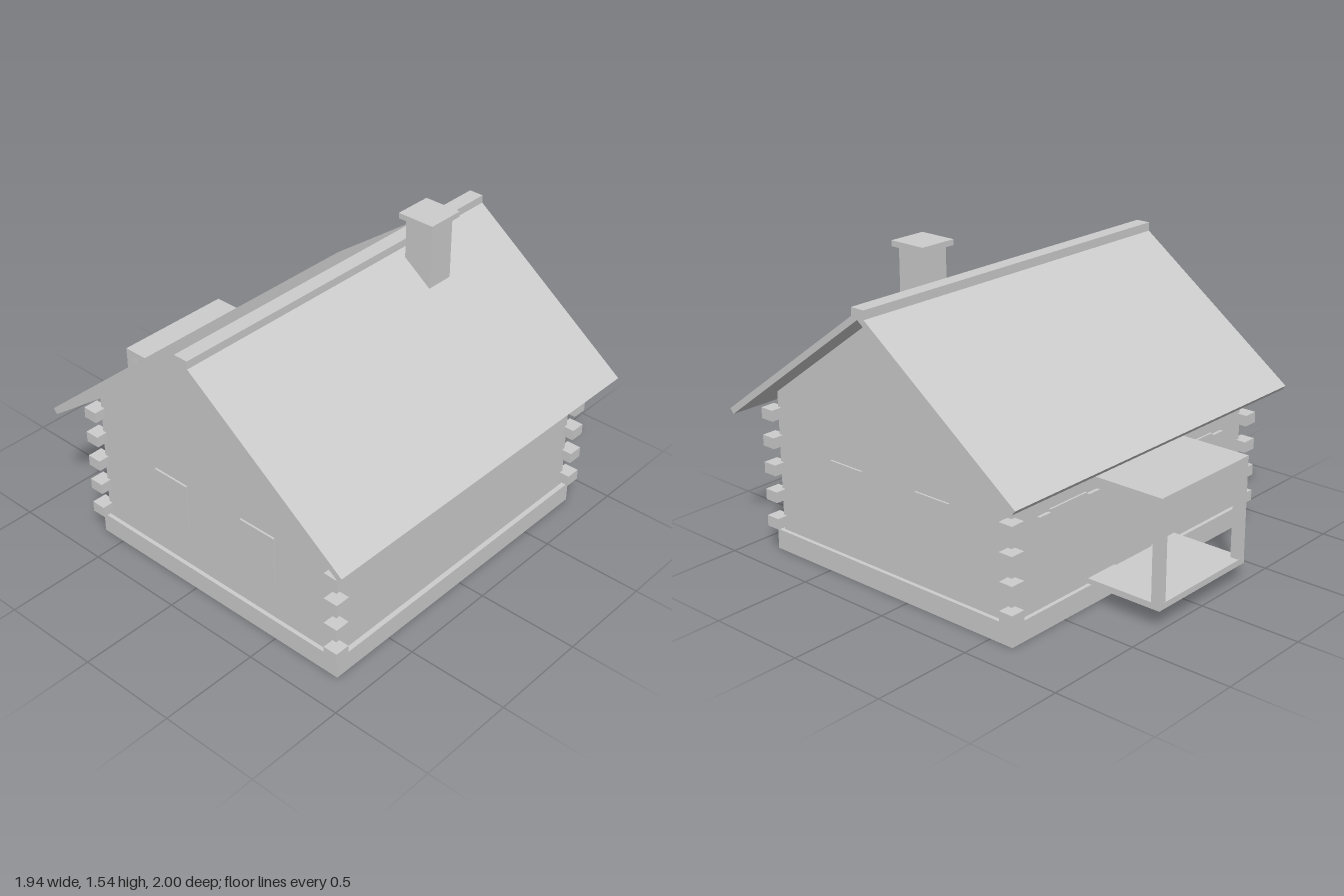
import * as THREE from 'three';

export function createModel() {
  const model = new THREE.Group();
  model.name = 'logCabin';
  const lightGrey = new THREE.MeshStandardMaterial({ color: 0xcccccc });
  lightGrey.name = 'lightGrey';

  function add(name, geometry) {
    const mesh = new THREE.Mesh(geometry, lightGrey);
    mesh.name = name;
    model.add(mesh);
    return mesh;
  }

  // Box given by its lower and upper limits on each axis
  function box(name, x0, x1, y0, y1, z0, z1) {
    const geometry = new THREE.BoxGeometry(x1 - x0, y1 - y0, z1 - z0);
    geometry.translate((x0 + x1) / 2, (y0 + y1) / 2, (z0 + z1) / 2);
    return add(name, geometry);
  }

  // Profile of [z, y] points, drawn along x and centred
  function prism(name, points, length) {
    const shape = new THREE.Shape(points.map(([z, y]) => new THREE.Vector2(z, y)));
    const geometry = new THREE.ExtrudeGeometry(shape, { depth: length, bevelEnabled: false });
    geometry.translate(0, 0, -length / 2);
    geometry.rotateY(-Math.PI / 2);
    return add(name, geometry);
  }

  // Foundation and walls with gables
  box('foundation', -0.84, 0.84, 0, 0.1, -0.625, 0.865);
  prism('walls', [[-0.605, 0.1], [0.84, 0.1], [0.84, 0.793], [0.12, 1.324], [-0.605, 0.789]], 1.64);

  // Roof slabs with square-cut eaves, and the ridge cap
  prism('roof', [
    [0.98, 0.69], [1.0, 0.714], [0.12, 1.362], [-0.76, 0.714], [-0.74, 0.69], [0.12, 1.325],
  ], 1.94);
  box('ridgeCap', -0.97, 0.97, 1.328, 1.375, 0.08, 0.155);

  // Chimney
  box('chimney', 0.36, 0.505, 1.15, 1.512, 0.19, 0.337);
  box('chimneyCap', 0.337, 0.53, 1.51, 1.537, 0.165, 0.357);

  // Projecting log ends on the four corners
  for (const x of [-0.838, 0.838]) {
    for (const z of [-0.62, 0.855]) {
      for (let i = 0; i < 5; i++) {
        const y = 0.148 + i * 0.136;
        box('logEnd', x - 0.038, x + 0.038, y - 0.027, y + 0.027, z - 0.037, z + 0.037);
      }
    }
  }

  for (const side of [-1, 1]) {
    // Gable windows
    for (const z of [-0.15, 0.385]) {
      const x = side * 0.824;
      box('sideWindow', x - 0.006, x + 0.006, 0.3, 0.55, z - 0.101, z + 0.101);
    }
    // Back windows with a shutter on each side
    const c = side * 0.462;
    box('backWindow', c - 0.12, c + 0.12, 0.29, 0.55, -0.615, -0.603);
    for (const s of [-1, 1]) {
      const x = c + s * 0.163;
      box('shutter', x - 0.036, x + 0.036, 0.25, 0.54, -0.622, -0.603);
    }
    // Porch posts
    const p = side * 0.295;
    box('porchPost', p - 0.022, p + 0.022, 0.12, 0.6, -0.999, -0.955);
  }

  // Back door and porch
  box('door', -0.13, 0.13, 0.12, 0.55, -0.615, -0.603);
  box('porchFloor', -0.317, 0.317, 0.095, 0.125, -1, -0.605);
  box('porchRoof', -0.317, 0.317, 0.595, 0.622, -1, -0.605);

  return model;
}
